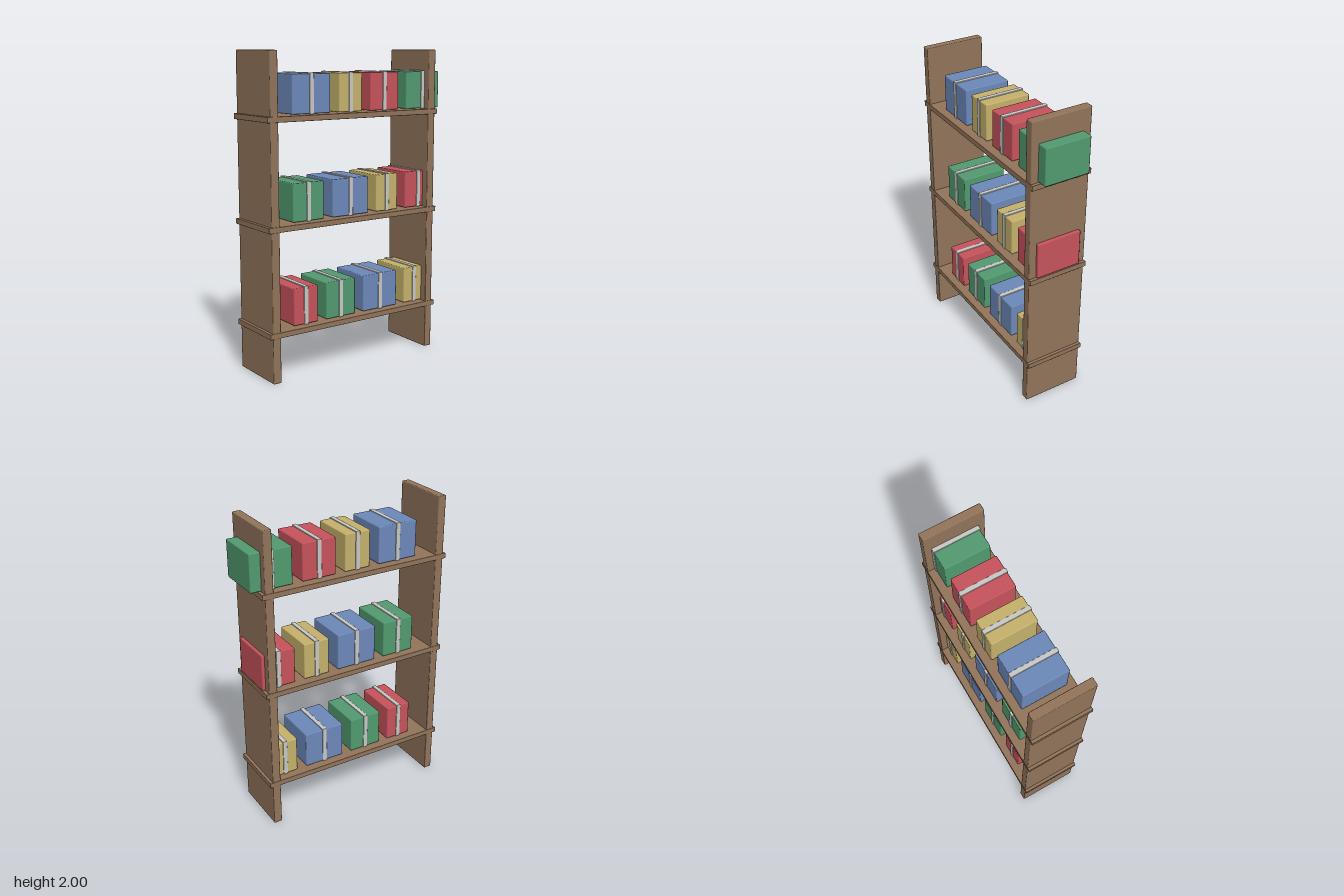
import * as THREE from 'three';
import { RoundedBoxGeometry } from 'three/addons/geometries/RoundedBoxGeometry.js';

const paint = (name, color) => {
  const m = new THREE.MeshStandardMaterial({ color });
  m.name = name;
  return m;
};

export function createModel() {
  const model = new THREE.Group();
  model.name = 'shelfWithParcels';

  const wood = paint('wood', 0x92745a);
  const strapGrey = paint('strapGrey', 0xc8c8c6);
  const red = paint('red', 0xc6535b);
  const green = paint('green', 0x529a70);
  const blue = paint('blue', 0x6d89ba);
  const yellow = paint('yellow', 0xc6b26c);

  // Slightly bevelled block given by its x and y ranges and its depth
  const block = (parent, name, material, x0, x1, y0, y1, depth, bevel) => {
    const geometry = new RoundedBoxGeometry(x1 - x0, y1 - y0, depth, 1, bevel);
    const mesh = new THREE.Mesh(geometry, material);
    mesh.name = name;
    mesh.position.set((x0 + x1) / 2, (y0 + y1) / 2, 0);
    parent.add(mesh);
  };

  // Upright side panels
  block(model, 'rightPanel', wood, -0.655, -0.6, 0, 2, 0.395, 0.006);
  block(model, 'leftPanel', wood, 0.545, 0.6, 0, 2, 0.395, 0.006);

  // Parcels of each shelf from right to left: material and width
  const S = 0.175, M = 0.225, L = 0.275;
  const shelves = [
    { top: 0.32, parcels: [[red, S], [green, M], [blue, L], [yellow, S]] },
    { top: 0.97, parcels: [[green, M], [blue, L], [yellow, S], [red, M]] },
    { top: 1.62, parcels: [[blue, L], [yellow, S], [red, M], [green, L]] },
  ];

  shelves.forEach(({ top, parcels }) => {
    // Board running through both panels
    block(model, 'shelf', wood, -0.675, 0.62, top - 0.035, top, 0.4, 0.003);

    let x = -0.475;
    parcels.forEach(([material, width]) => {
      const parcel = new THREE.Group();
      parcel.name = 'parcel';
      const mid = x + width / 2;
      block(parcel, 'parcelBox', material, x, x + width, top + 0.003, top + 0.241, 0.3, 0.007);
      // Strap wrapped around the middle
      block(parcel, 'strap', strapGrey, mid - 0.015, mid + 0.015, top + 0.001, top + 0.247, 0.308, 0.003);
      model.add(parcel);
      x += width + 0.065;
    });
  });

  return model;
}
